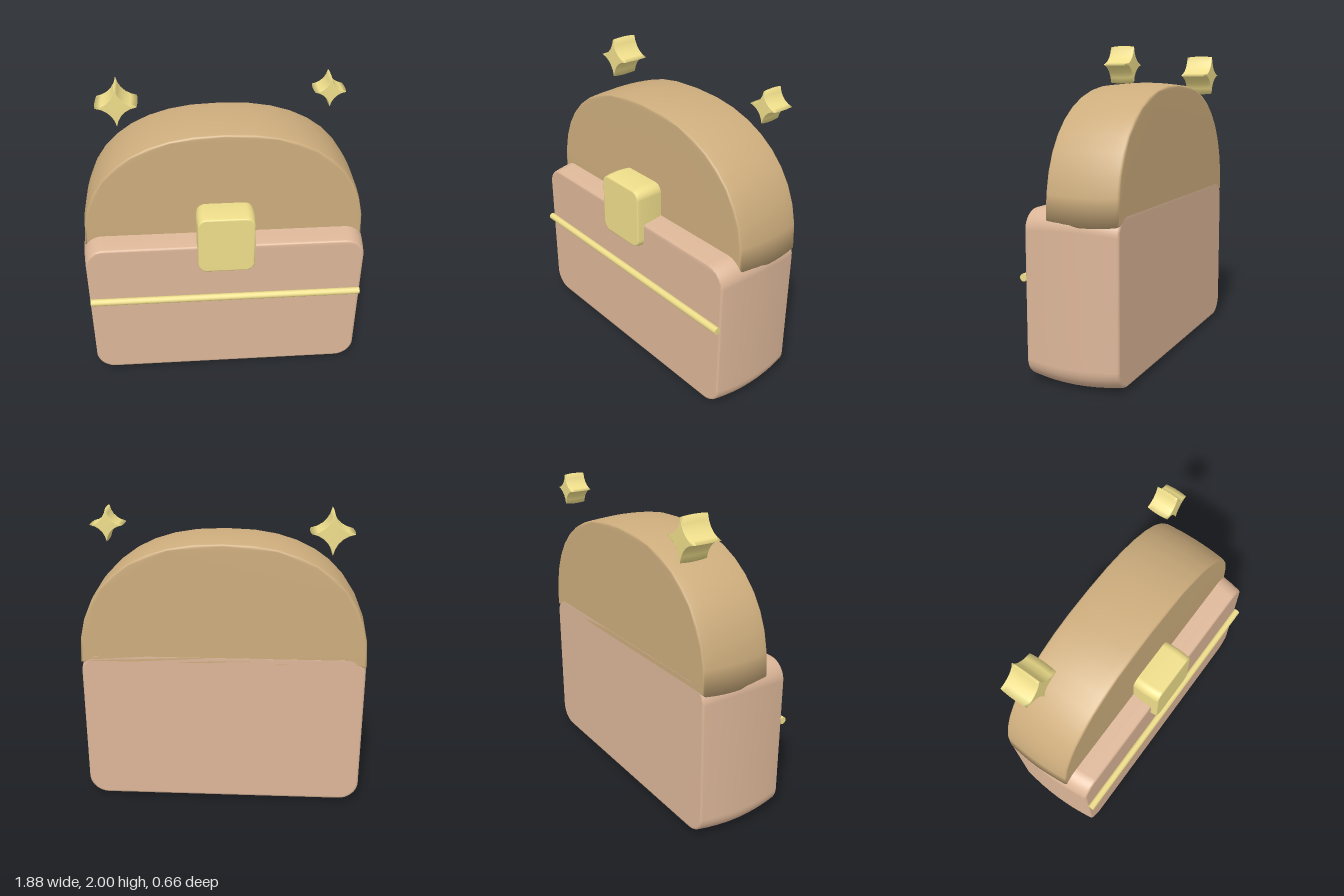
import * as THREE from 'three';
import { mergeVertices } from 'three/addons/utils/BufferGeometryUtils.js';

const paint = (color) => new THREE.MeshStandardMaterial({ color });

// Extrudes a shape centred on its origin from zBack to zFront, with a softened rim
// and sides that swell by `bulge` towards the middle of the depth.
function puffed(shape, halfW, halfH, zBack, zFront, bulge, rim = 0.012) {
  const depth = zFront - zBack;
  const geo = new THREE.ExtrudeGeometry(shape, {
    depth: depth - 2 * rim, steps: 8, curveSegments: 5,
    bevelEnabled: true, bevelThickness: rim, bevelSize: rim, bevelOffset: -rim, bevelSegments: 2,
  });
  geo.translate(0, 0, rim);
  const p = geo.attributes.position;
  for (let i = 0; i < p.count; i++) {
    const t = (2 * p.getZ(i)) / depth - 1;
    const inset = bulge * t * t;
    p.setX(i, p.getX(i) * (1 - inset / halfW));
    p.setY(i, p.getY(i) * (1 - inset / halfH));
  }
  geo.translate(0, 0, zBack);
  geo.deleteAttribute('uv');
  geo.deleteAttribute('normal');
  const smooth = mergeVertices(geo, 1e-4);
  smooth.computeVertexNormals();
  return smooth;
}

function roundedRect(w, h, r) {
  const s = new THREE.Shape();
  s.absarc(w - r, h - r, r, 0, Math.PI / 2);
  s.absarc(-w + r, h - r, r, Math.PI / 2, Math.PI);
  s.absarc(-w + r, -h + r, r, Math.PI, Math.PI * 1.5);
  s.absarc(w - r, -h + r, r, Math.PI * 1.5, Math.PI * 2);
  s.closePath();
  return s;
}

// Full, slightly squared arch with a straight bottom, centred on its own height
function arch(w, h) {
  const pts = [];
  const n = 20, e = 2 / 2.35;
  for (let i = 0; i <= n; i++) {
    const a = (Math.PI * i) / n;
    const c = Math.cos(a), s = Math.max(0, Math.sin(a));
    pts.push(new THREE.Vector2(
      Math.sign(c) * w * Math.abs(c) ** e,
      (i === n ? 0 : 2 * h * s ** e) - h,
    ));
  }
  return new THREE.Shape(pts);
}

// Four-pointed star with concave sides
function starShape(r) {
  const c = r * 0.17;
  const s = new THREE.Shape();
  s.moveTo(r, 0);
  s.quadraticCurveTo(c, c, 0, r);
  s.quadraticCurveTo(-c, c, -r, 0);
  s.quadraticCurveTo(-c, -c, 0, -r);
  s.quadraticCurveTo(c, -c, r, 0);
  return s;
}

export function createModel() {
  const group = new THREE.Group();
  const tan = paint(0xdcb698), brown = paint(0xcdad7d), gold = paint(0xeedd8a);
  const add = (name, geometry, material, x, y, z = 0) => {
    const mesh = new THREE.Mesh(geometry, material);
    mesh.name = name;
    mesh.position.set(x, y, z);
    group.add(mesh);
    return mesh;
  };

  // Bag body and domed lid
  add('body', puffed(roundedRect(0.94, 0.54, 0.13), 0.94, 0.54, -0.33, 0.285, 0.025), tan, 0, 0.54);
  add('lid', puffed(arch(0.935, 0.41), 0.935, 0.41, -0.33, 0.14, 0.016), brown, 0, 1.39);

  // Clasp on the front
  add('clasp', puffed(roundedRect(0.19, 0.21, 0.06), 0.19, 0.21, 0.12, 0.33, 0.007, 0.008), gold, 0, 1.09);

  // Trim bar across the front
  const bar = add('trimBar', new THREE.CylinderGeometry(0.024, 0.024, 1.82, 12), gold, 0, 0.645, 0.303);
  bar.rotation.z = Math.PI / 2;

  // Floating sparkles: x, y, radius, front z
  for (const [name, x, y, r, zFront] of [
    ['rightSparkle', -0.667, 1.855, 0.137, -0.14],
    ['leftSparkle', 0.705, 1.895, 0.105, -0.185],
  ]) {
    add(name, puffed(starShape(r), r, r, -0.33, zFront, 0.006, 0.003), gold, x, y);
  }
  return group;
}
